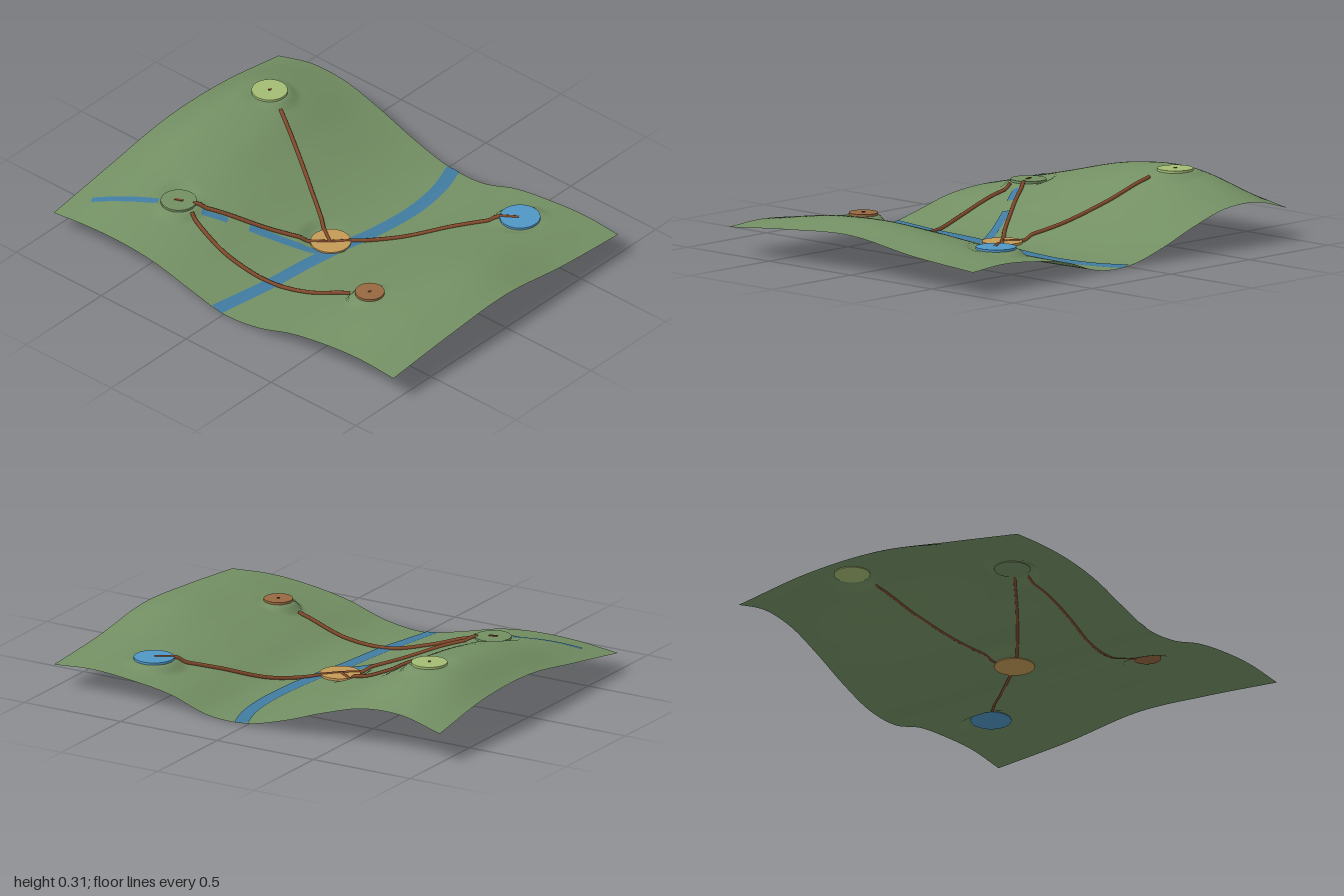
import * as THREE from 'three';

const mat = (name, color, side = THREE.FrontSide) => {
  const m = new THREE.MeshStandardMaterial({ color, side });
  m.name = name;
  return m;
};

// Hill heights: rows run from back (z = -0.75) to front, columns from x = -1 to 1
const HILLS = [
  [0.145, 0.195, 0.19, 0.135, 0.065, 0.015, 0.018, 0.08, 0.11, 0.125, 0.113],
  [0.2, 0.3, 0.275, 0.17, 0.075, 0.018, 0.015, 0.085, 0.145, 0.17, 0.14],
  [0.205, 0.285, 0.255, 0.165, 0.075, 0.02, 0.028, 0.105, 0.175, 0.22, 0.185],
  [0.15, 0.2, 0.19, 0.14, 0.065, 0.018, 0.038, 0.115, 0.175, 0.195, 0.165],
  [0.09, 0.11, 0.115, 0.097, 0.05, 0.01, 0.03, 0.09, 0.125, 0.14, 0.13],
];

// Round sites levelled into the ground
const SITES = [
  { name: 'centralSite', x: 0, z: 0.035, r: 0.09, y: 0.018, color: 0xc49a56 },
  { name: 'hilltopSite', x: -0.7, z: -0.35, r: 0.08, y: 0.303, color: 0xa3bb73 },
  { name: 'lakeSite', x: 0.62, z: -0.525, r: 0.09, y: 0.143, color: 0x4f96c4 },
  { name: 'mossSite', x: -0.56, z: 0.415, r: 0.08, y: 0.178, color: 0x728f61 },
  { name: 'claySite', x: 0.53, z: 0.375, r: 0.065, y: 0.173, color: 0x96683f },
];

// Smooth interpolation through evenly spaced values
function spline(v, t) {
  const n = v.length - 1;
  const i = Math.min(Math.max(Math.floor(t * n), 0), n - 1);
  const f = t * n - i;
  const b = v[i], c = v[i + 1];
  const a = i > 0 ? v[i - 1] : 2 * b - c;
  const d = i < n - 1 ? v[i + 2] : 2 * c - b;
  return b + 0.5 * f * (c - a + f * (2 * a - 5 * b + 4 * c - d + f * (3 * (b - c) + d - a)));
}

function height(x, z) {
  const u = THREE.MathUtils.clamp((x + 1) / 2, 0, 1);
  const w = THREE.MathUtils.clamp((z + 0.75) / 1.5, 0, 1);
  let h = spline(HILLS.map((row) => spline(row, u)), w);
  for (const s of SITES) {
    const k = THREE.MathUtils.smoothstep(Math.hypot(x - s.x, z - s.z), s.r, s.r * 1.6);
    h = THREE.MathUtils.lerp(s.y, h, k);
  }
  return Math.max(h, 0);
}

const flatCurve = (pts) =>
  new THREE.CatmullRomCurve3(pts.map(([x, z]) => new THREE.Vector3(x, 0, z)));

// Ribbon of water draped over the ground
function ribbon(pts, width, segments) {
  const curve = flatCurve(pts);
  const across = 4;
  const pos = [], idx = [];
  for (let i = 0; i <= segments; i++) {
    const p = curve.getPointAt(i / segments);
    const t = curve.getTangentAt(i / segments);
    for (let j = 0; j <= across; j++) {
      const o = (j / across - 0.5) * width;
      const x = p.x - t.z * o;
      const z = THREE.MathUtils.clamp(p.z + t.x * o, -0.75, 0.75);
      pos.push(x, height(x, z) + 0.003, z);
      if (i < segments && j < across) {
        const a = i * (across + 1) + j, b = a + across + 1;
        idx.push(a, a + 1, b, b, a + 1, b + 1);
      }
    }
  }
  const g = new THREE.BufferGeometry();
  g.setAttribute('position', new THREE.Float32BufferAttribute(pos, 3));
  g.setIndex(idx);
  g.computeVertexNormals();
  // Make the strip face the sky
  if (g.attributes.normal.getY(0) < 0) {
    g.setIndex(idx.reverse());
    g.computeVertexNormals();
  }
  return g;
}

// Trail tube following the ground
function trail(pts) {
  const path = flatCurve(pts).getSpacedPoints(40);
  path.forEach((p) => { p.y = height(p.x, p.z) + 0.006; });
  return new THREE.TubeGeometry(new THREE.CatmullRomCurve3(path), 100, 0.009, 8);
}

export function createModel() {
  const model = new THREE.Group();
  model.name = 'valleyLandscape';
  const add = (name, geometry, material) => {
    const mesh = new THREE.Mesh(geometry, material);
    mesh.name = name;
    model.add(mesh);
    return mesh;
  };

  // Ground sheet
  const ground = new THREE.PlaneGeometry(2, 1.5, 120, 90).rotateX(-Math.PI / 2);
  const p = ground.attributes.position;
  for (let i = 0; i < p.count; i++) p.setY(i, height(p.getX(i), p.getZ(i)));
  ground.computeVertexNormals();
  add('ground', ground, mat('grass', 0x738f63, THREE.DoubleSide));

  // River along the valley and its side stream
  const water = mat('water', 0x407ba0, THREE.DoubleSide);
  add('river', ribbon([[0.03, -0.75], [0.08, -0.6], [0.105, -0.4], [0.09, -0.15], [0.065, 0],
    [0.035, 0.2], [0.01, 0.45], [-0.015, 0.6], [-0.04, 0.75]], 0.065, 80), water);
  add('upperStream', ribbon([[-0.9, 0.61], [-0.76, 0.54], [-0.63, 0.47]], 0.03, 20), water);
  add('middleStream', ribbon([[-0.45, 0.385], [-0.35, 0.325]], 0.03, 12), water);
  add('lowerStream', ribbon([[-0.27, 0.27], [-0.12, 0.19], [0.04, 0.11]], 0.04, 24), water);

  // Site discs
  for (const s of SITES) {
    const disc = add(s.name, new THREE.CylinderGeometry(s.r, s.r, 0.014, 40), mat(s.name + 'Colour', s.color));
    disc.position.set(s.x, s.y + 0.003, s.z);
  }

  // Trails between the sites
  const earth = mat('trailBrown', 0x80492b);
  const trails = {
    hilltopTrail: [[0, 0.04], [-0.2, -0.09], [-0.4, -0.205], [-0.59, -0.3]],
    lakeTrail: [[0, 0.04], [0.2, -0.175], [0.36, -0.32], [0.52, -0.45], [0.62, -0.52]],
    mossTrail: [[0, 0.04], [-0.14, 0.15], [-0.3, 0.26], [-0.5, 0.385]],
    clayTrail: [[-0.465, 0.435], [-0.36, 0.46], [-0.22, 0.47], [0, 0.445], [0.25, 0.405], [0.43, 0.385]],
  };
  for (const [name, pts] of Object.entries(trails)) add(name, trail(pts), earth);

  // Small trail ends showing at the site centres
  for (const [i, len] of [[1, 0.012], [3, 0.04], [4, 0.012]]) {
    const s = SITES[i];
    const end = add('trailEnd', new THREE.BoxGeometry(len, 0.008, 0.012), earth);
    end.position.set(s.x, s.y + 0.009, s.z);
    end.rotation.y = 0.4;
  }
  return model;
}
